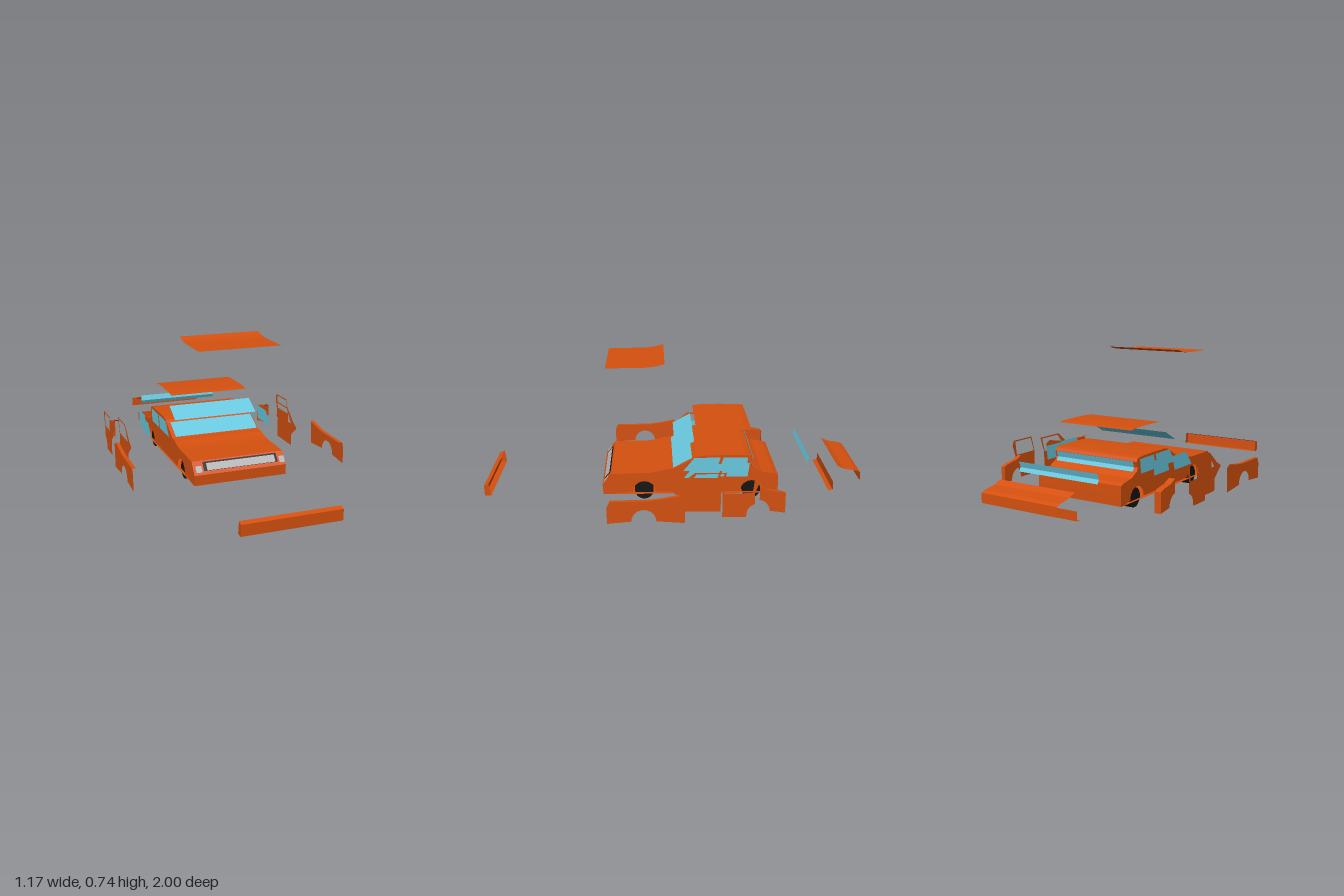
import * as THREE from 'three';

const mat = (name, color) => {
  const m = new THREE.MeshStandardMaterial({ color, side: THREE.DoubleSide });
  m.name = name;
  return m;
};

export function createModel() {
  const paint = mat('orange paint', 0xd4500f);
  const glass = mat('blue glass', 0x69c9e0);
  const metal = mat('grey metal', 0xb4b4b6);
  const black = mat('black rubber', 0x141414);
  const model = new THREE.Group();
  model.name = 'explodedCar';

  const add = (name, geometry, material, parent = model) => {
    const mesh = new THREE.Mesh(geometry, material);
    mesh.name = name;
    parent.add(mesh);
    return mesh;
  };
  const vecs = pts => pts.map(p => new THREE.Vector2(p[0], p[1]));

  // Flat sheet in a plane of constant x, drawn from (z, y) points
  const sheet = (name, pts, x, material, parent, hole) => {
    const shape = new THREE.Shape(vecs(pts));
    if (hole) shape.holes.push(new THREE.Path(vecs(hole)));
    const g = new THREE.ShapeGeometry(shape);
    g.rotateY(-Math.PI / 2);
    g.translate(x, 0, 0);
    return add(name, g, material, parent);
  };

  // Bent panel: a (z, y) line swept from x0 to x1, facing up when z falls
  const panel = (name, pts, x0, x1, material, parent) => {
    const v = [];
    for (let i = 0; i + 1 < pts.length; i++) {
      const [[za, ya], [zb, yb]] = [pts[i], pts[i + 1]];
      v.push(x0, ya, za, x1, ya, za, x1, yb, zb, x0, ya, za, x1, yb, zb, x0, yb, zb);
    }
    const g = new THREE.BufferGeometry();
    g.setAttribute('position', new THREE.Float32BufferAttribute(v, 3));
    g.computeVertexNormals();
    return add(name, g, material, parent);
  };

  const shift = (pts, dz, dy) => pts.map(([z, y]) => [z + dz, y + dy]);
  const frontAxle = 0.155, rearAxle = -0.415, axleY = 0.048;
  // Wheel arch points between two angles
  const arch = (c, a0 = Math.PI, a1 = 0, r = 0.061) => {
    const pts = [];
    for (let i = 0; i <= 12; i++) {
      const a = a0 + (a1 - a0) * i / 12;
      pts.push([c + Math.cos(a) * r, axleY + Math.sin(a) * r]);
    }
    return pts;
  };

  const L = -0.28, R = 0.222, floor = 0.037;
  const hood = [[0.327, 0.152], [0.23, 0.154], [0.13, 0.156], [0.085, 0.163], [0.045, 0.174]];
  const screen = [[0.0, 0.178], [-0.1, 0.232]];
  const roof = [[-0.12, 0.245], [-0.16, 0.251], [-0.27, 0.253], [-0.38, 0.251], [-0.41, 0.246]];
  const rearScreen = [[-0.418, 0.23], [-0.408, 0.2], [-0.418, 0.18]];
  const trunk = [[-0.43, 0.175], [-0.466, 0.158], [-0.532, 0.147], [-0.554, 0.138], [-0.555, 0.09]];
  const nose = [[0.372, floor], [0.375, 0.092]];
  const outline = [...nose, ...hood, ...screen, ...roof, ...rearScreen, ...trunk, [-0.555, floor]];

  // Assembled body
  const body = new THREE.Group();
  body.name = 'body';
  model.add(body);
  panel('bodyShell', outline, L, R, paint, body);
  panel('bodyFloor', [[-0.555, floor], [0.372, floor]], L, R, paint, body);
  for (const x of [L, R])
    sheet('bodySide', [...outline, ...arch(rearAxle), ...arch(frontAxle)], x, paint, body);
  panel('bodyWindscreen', shift(screen, 0.002, 0.004), -0.26, 0.215, glass, body);
  panel('bodyRearWindow', shift(rearScreen, -0.004, 0), -0.26, 0.21, glass, body);

  // Grille and headlights lie on the sloping nose
  const onNose = (name, x0, x1, y0, y1, material, lift) => {
    const at = y => [0.375 - (y - 0.092) * 0.8 + lift, y];
    panel(name, [at(y0), at(y1)], x0, x1, material, body);
  };
  onNose('grilleSurround', -0.225, 0.18, 0.108, 0.147, black, 0.003);
  onNose('grille', -0.208, 0.167, 0.11, 0.141, metal, 0.005);
  onNose('headlight', -0.267, -0.235, 0.104, 0.132, metal, 0.004);
  onNose('headlight', 0.19, 0.22, 0.104, 0.132, metal, 0.004);

  // Wheels and axles
  for (const z of [frontAxle, rearAxle]) {
    for (const x of [-0.24, 0.175]) {
      const wheel = add('wheel', new THREE.CylinderGeometry(0.05, 0.05, 0.05, 28), black);
      wheel.rotation.z = Math.PI / 2;
      wheel.position.set(x, 0.05, z);
    }
    const axle = add('axle', new THREE.CylinderGeometry(0.015, 0.015, 0.43, 16), metal);
    axle.rotation.z = Math.PI / 2;
    axle.position.set(-0.032, 0.045, z);
  }

  // Panels lifted off the top and the ends
  panel('hoodPanel', shift([[0.348, 0.154], ...hood.slice(1)], 0, 0.566), -0.245, 0.196, paint);
  panel('roofPanel', shift(roof, 0, 0.135), -0.245, 0.196, paint);
  panel('windscreenPanel', shift(screen, -0.008, 0.095), -0.26, 0.21, glass);
  panel('rearWindowPanel', shift(rearScreen, -0.3, 0), -0.26, 0.21, glass);
  panel('trunkLid', shift(trunk, -0.444, 0), -0.245, 0.196, paint);
  panel('rearBumper', [[-0.857, 0.083], [-0.857, floor], [-0.832, floor]], -0.245, 0.196, paint);

  const bumper = new THREE.Group();
  bumper.name = 'frontBumper';
  model.add(bumper);
  const bumperLine = [[0.965, 0.035], [0.998, 0.035], [1.0, 0.092], [0.975, 0.1]];
  panel('bumperFace', bumperLine, L, R - 0.002, paint, bumper);
  for (const x of [L, R - 0.002]) sheet('bumperEnd', bumperLine, x, paint, bumper);

  // Side panels moved out from the body
  const frontGlass = [[-0.05, 0.165], [-0.11, 0.24], [-0.247, 0.24], [-0.225, 0.165]];
  const rearGlass = [[-0.24, 0.165], [-0.263, 0.24], [-0.392, 0.24], [-0.382, 0.165]];
  const frontDoor = [[-0.045, floor], [-0.045, 0.1], [0.025, 0.158], [-0.02, 0.182],
    [-0.1, 0.247], [-0.262, 0.247], [-0.232, 0.165], [-0.232, floor]];
  const rearDoor = [[-0.234, floor], [-0.234, 0.165], [-0.258, 0.247], [-0.405, 0.247],
    [-0.415, 0.22], [-0.395, 0.165], ...arch(rearAxle, Math.PI * 0.4, 0), [-0.352, floor]];
  const fenderTop = [[0.322, 0.152], [0.13, 0.155], [0.06, 0.164], [-0.02, 0.18]];
  const frontFender = [[0.335, floor], [0.337, 0.12], ...fenderTop, [-0.05, 0.165],
    [-0.045, floor], ...arch(frontAxle)];
  const fenderBack = [[-0.425, 0.178], [-0.466, 0.16], [-0.532, 0.149], [-0.555, 0.14], [-0.555, floor]];
  const rearFender = [...fenderBack, ...arch(rearAxle, Math.PI, Math.PI * 0.55)];

  const sides = [
    { name: 'left', s: 1, edge: R, win: [0.318, 0.303], door: [0.45, 0.518], fender: 0.58, back: 0.474, lip: 0.022 },
    { name: 'right', s: -1, edge: L, win: [-0.382, -0.359], door: [-0.514, -0.56], fender: -0.586, back: -0.5, lip: 0.034 },
  ];
  for (const d of sides) {
    const group = new THREE.Group();
    group.name = d.name + 'SidePanels';
    model.add(group);
    const x = d.edge + d.s * 0.003;
    sheet('bodyFrontWindow', frontGlass, x, glass, group);
    sheet('bodyRearSideWindow', rearGlass, x, glass, group);
    sheet('frontWindow', frontGlass, d.win[0], glass, group);
    sheet('rearSideWindow', rearGlass, d.win[1], glass, group);
    sheet('frontDoor', frontDoor, d.door[0], paint, group, frontGlass);
    sheet('rearDoor', rearDoor, d.door[1], paint, group, rearGlass);
    // Fenders with a lip turned inward
    const lip = (name, pts, outer, width) => {
      const inner = outer - d.s * width;
      panel(name, pts, Math.min(inner, outer), Math.max(inner, outer), paint, group);
    };
    sheet('frontFender', frontFender, d.fender, paint, group);
    lip('frontFenderLip', fenderTop, d.fender, 0.02);
    sheet('rearFender', rearFender, d.back, paint, group);
    lip('rearFenderLip', fenderBack, d.back, d.lip);
  }
  return model;
}
